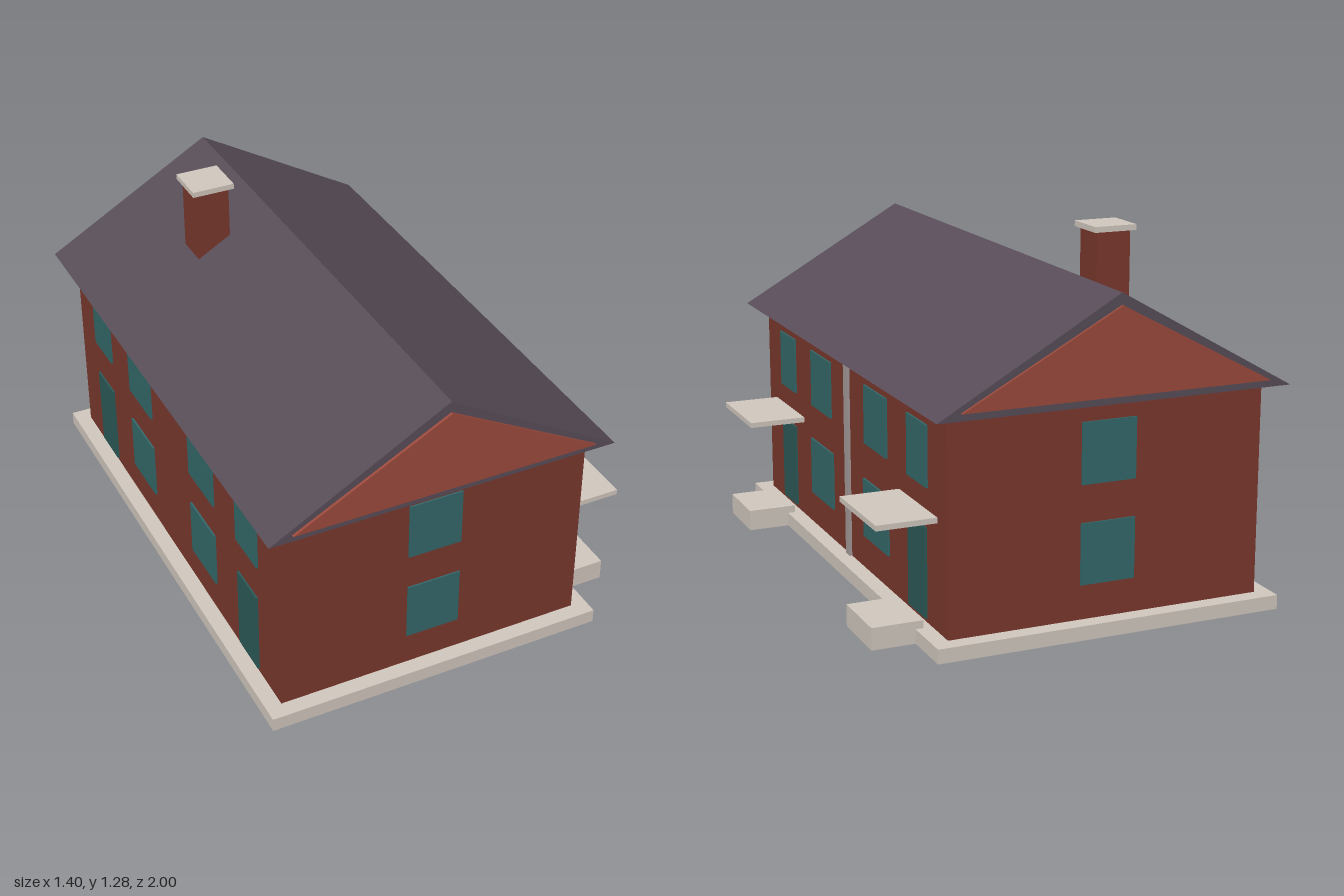
import * as THREE from 'three';

const mat = (color) => new THREE.MeshStandardMaterial({ color, flatShading: true });

export function createModel() {
  const house = new THREE.Group();
  house.name = 'house';
  const brick = mat(0x7a382e), gableBrick = mat(0x9c4a3c), slate = mat(0x584d58);
  const glass = mat(0x34686a), doorPaint = mat(0x2c5a58), stone = mat(0xd2c8be), metal = mat(0xa39a97);

  const add = (name, geometry, material) => {
    const mesh = new THREE.Mesh(geometry, material);
    mesh.name = name;
    house.add(mesh);
    return mesh;
  };
  // Box given by its extents on each axis
  const box = (name, material, [x0, x1], [y0, y1], [z0, z1]) => {
    const mesh = add(name, new THREE.BoxGeometry(x1 - x0, y1 - y0, z1 - z0), material);
    mesh.position.set((x0 + x1) / 2, (y0 + y1) / 2, (z0 + z1) / 2);
    return mesh;
  };
  // Triangular prism running along z
  const prism = (name, material, [x0, x1], [y0, y1], [z0, z1]) => {
    const shape = new THREE.Shape([
      new THREE.Vector2(x0, y0), new THREE.Vector2(x1, y0), new THREE.Vector2((x0 + x1) / 2, y1),
    ]);
    const mesh = add(name, new THREE.ExtrudeGeometry(shape, { depth: z1 - z0, bevelEnabled: false }), material);
    mesh.position.z = z0;
    return mesh;
  };
  // Extent mirrored to either end of the house
  const flip = ([a, b], s) => (s > 0 ? [a, b] : [-b, -a]);

  // Main body
  box('foundation', stone, [-0.694, 0.551], [0, 0.05], [-0.975, 0.975]);
  box('walls', brick, [-0.637, 0.493], [0.05, 0.79], [-0.917, 0.917]);
  prism('roof', slate, [-0.702, 0.558], [0.79, 1.15], [-0.99, 0.99]);

  // Chimney
  box('chimney', brick, [-0.346, -0.221], [0.85, 1.257], [-0.518, -0.392]);
  box('chimneyCap', stone, [-0.362, -0.206], [1.257, 1.277], [-0.532, -0.377]);

  const upper = [0.512, 0.722], lower = [0.17, 0.382], doorHeight = [0.064, 0.377];
  for (const s of [1, -1]) {
    // Gable ends
    prism('gablePanel', gableBrick, [-0.622, 0.478], [0.815, 1.11], flip([0.98, 1.0], s));
    for (const y of [upper, lower]) box('endWindow', glass, [-0.17, 0.026], y, flip([0.91, 0.923], s));

    // Long sides
    for (const x of [[0.485, 0.5], [-0.644, -0.63]]) {
      box('smallWindow', glass, x, upper, flip([0.581, 0.753], s));
      box('upperWindow', glass, x, upper, flip([0.177, 0.391], s));
      const wide = x[0] > 0 ? [0.161, 0.403] : [0.177, 0.391];
      box('lowerWindow', glass, x, lower, flip(wide, s));
      box('door', doorPaint, x, doorHeight, flip([0.588, 0.744], s));
    }

    // Entrances
    box('canopy', stone, [0.49, 0.703], [0.418, 0.437], flip([0.497, 0.834], s));
    box('doorStep', stone, [0.523, 0.703], [0, 0.077], flip([0.546, 0.783], s));
  }

  // Downpipe on the entrance side
  box('downpipe', metal, [0.485, 0.503], [0.05, 0.79], [-0.02, 0.02]);

  return house;
}
